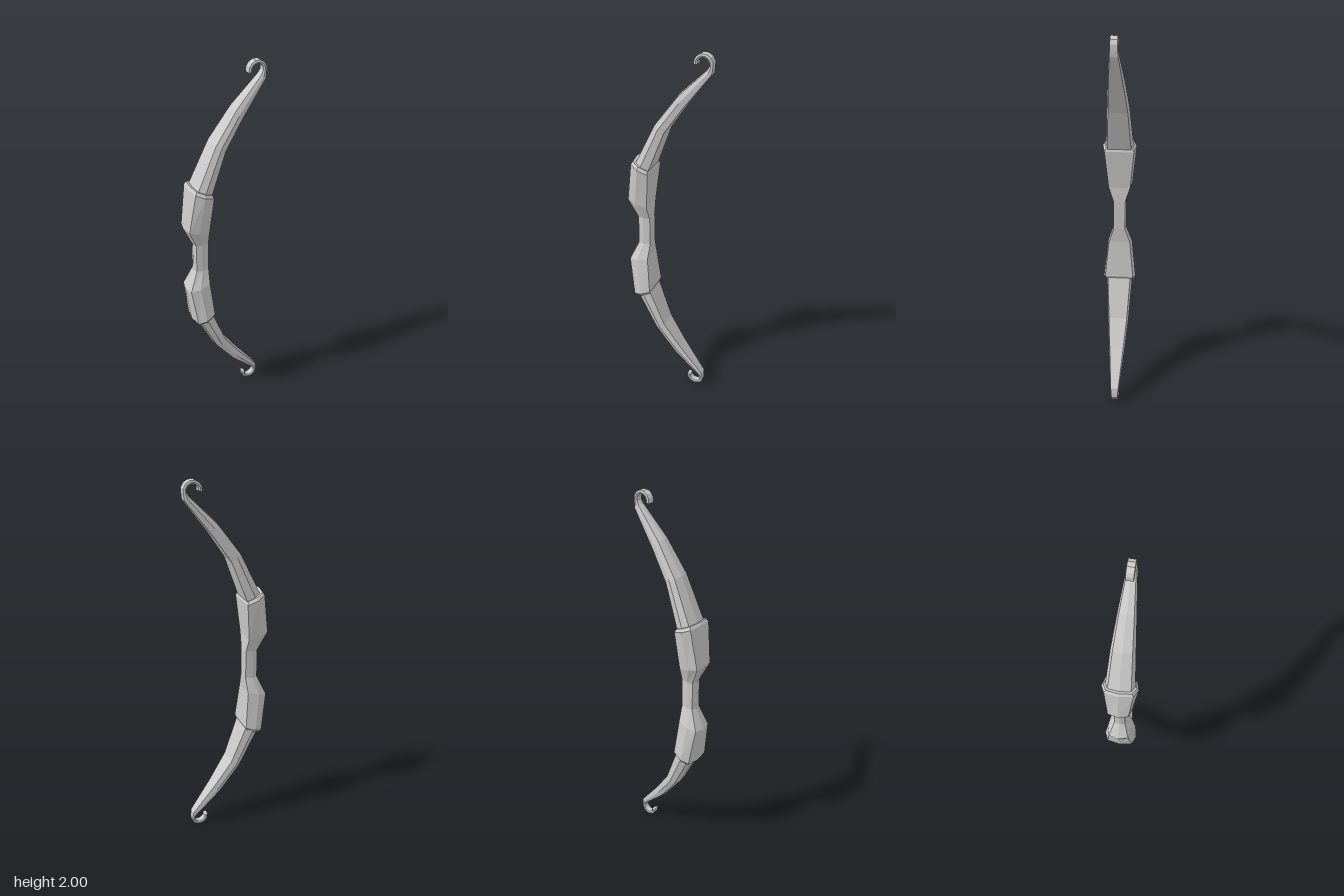
import * as THREE from 'three';

const material = new THREE.MeshStandardMaterial({ color: 0xcccccc, flatShading: true });

// Seven-sided section: position from back edge to belly edge, and share of the half width
const SECTION = [[0, 0], [0.1, 0.78], [0.5, 1], [1, 0.86], [1, -0.86], [0.5, -1], [0.1, -0.78]];

// Station: [back x, back y, belly x, belly y, half width in z], listed from bottom to top
function loft(name, stations) {
  const n = SECTION.length;
  const rings = stations.map(([ax, ay, bx, by, w]) =>
    SECTION.map(([t, s]) => [ax + (bx - ax) * t, ay + (by - ay) * t, w * s]));
  const index = [];
  for (let i = 0; i < rings.length - 1; i++) {
    for (let j = 0; j < n; j++) {
      const a = i * n + j, b = i * n + (j + 1) % n;
      index.push(a, b, b + n, a, b + n, a + n);
    }
  }
  // End caps
  const top = (rings.length - 1) * n;
  for (let j = 1; j < n - 1; j++) {
    index.push(0, j + 1, j, top, top + j, top + j + 1);
  }
  const geometry = new THREE.BufferGeometry();
  geometry.setAttribute('position', new THREE.Float32BufferAttribute(rings.flat(2), 3));
  geometry.setIndex(index);
  const flat = geometry.toNonIndexed();
  flat.computeVertexNormals();
  const mesh = new THREE.Mesh(flat, material);
  mesh.name = name;
  return mesh;
}

// Flip stations about mid height, keeping them ordered bottom to top
const mirrored = (stations) =>
  stations.map(([ax, ay, bx, by, w]) => [ax, 2 - ay, bx, 2 - by, w]).reverse();

export function createModel() {
  const group = new THREE.Group();
  group.name = 'bow';

  // Handle: narrow grip, swelling into a riser with a bevelled, tilted end
  const riser = [
    [-0.174, 1.08, -0.1, 1.08, 0.036],
    [-0.224, 1.19, -0.105, 1.16, 0.067],
    [-0.192, 1.408, -0.086, 1.365, 0.09],
    [-0.182, 1.422, -0.092, 1.382, 0.08],
  ];
  group.add(loft('handle', [...mirrored(riser), ...riser]));

  // Curved limb, tapering towards the tip
  const limb = [
    [-0.183, 1.385, -0.1, 1.35, 0.073],
    [-0.17, 1.412, -0.09, 1.378, 0.072],
    [-0.065, 1.63, -0.01, 1.592, 0.058],
    [0.05, 1.788, 0.085, 1.735, 0.043],
    [0.186, 1.925, 0.214, 1.908, 0.024],
  ];
  // String hook curling back from the tip
  const cx = 0.172, cy = 1.952;
  for (const degrees of [-15, 15, 45, 75, 105, 135, 160, 190]) {
    const c = Math.cos(degrees * Math.PI / 180), s = Math.sin(degrees * Math.PI / 180);
    limb.push([cx + 0.028 * c, cy + 0.028 * s, cx + 0.048 * c, cy + 0.048 * s, 0.02]);
  }
  group.add(loft('upperLimb', limb), loft('lowerLimb', mirrored(limb)));
  return group;
}
